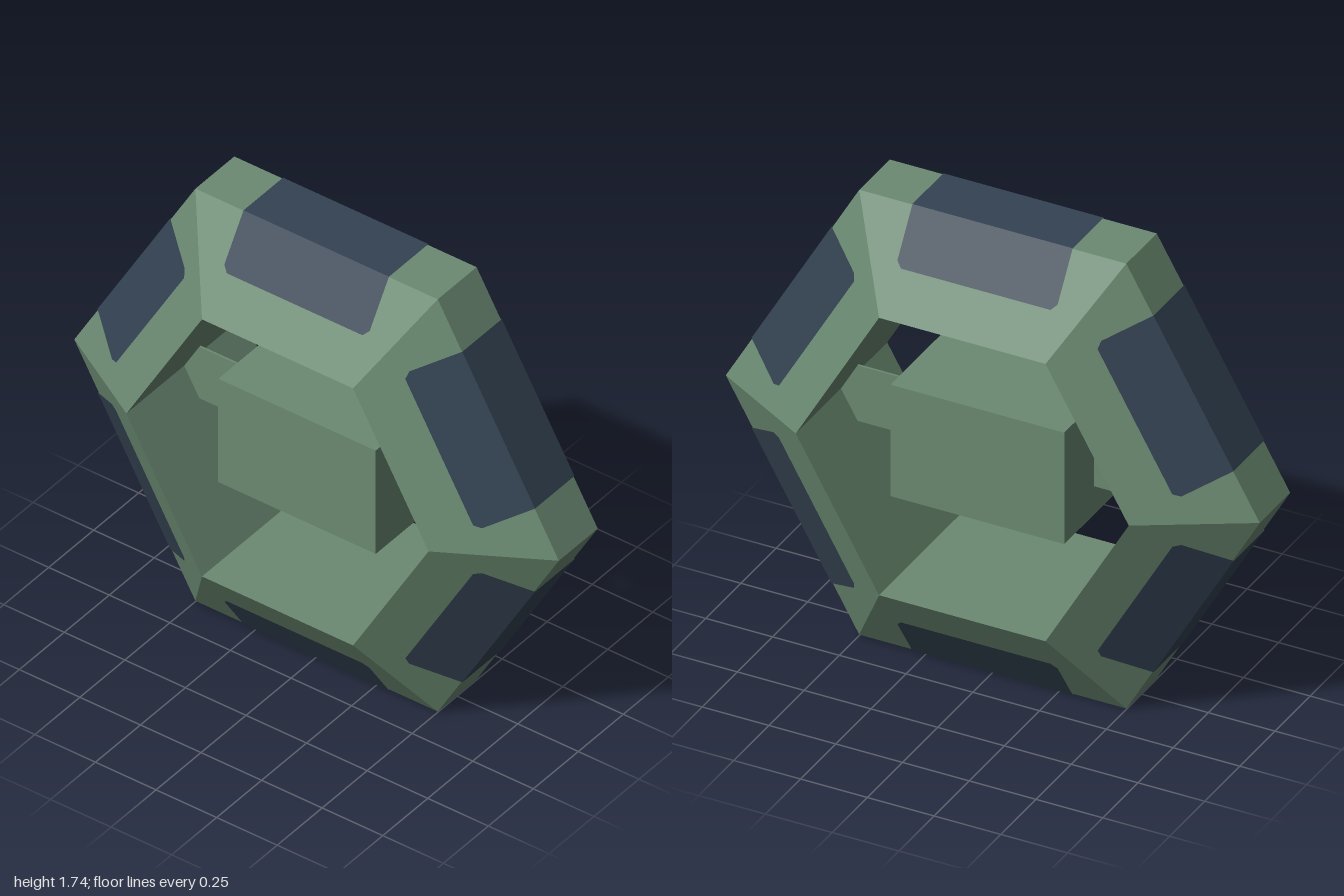
import * as THREE from 'three';

const APOTHEM = Math.sqrt(3) / 2;   // hexagon centre to outer flat
const INNER = 0.54;                 // hexagon centre to inner flat
const EDGE = 0.108;                 // half width of the outer flat
const SIDE = 0.325;                 // half width of the inner flat

// Strip of flat quads across rows of [x, y, half length along z]
function loft(rows) {
  const pos = [];
  for (let i = 0; i < rows.length - 1; i++) {
    const [x0, y0, h0] = rows[i];
    const [x1, y1, h1] = rows[i + 1];
    const a = [x0, y0, h0], b = [x1, y1, h1], c = [x1, y1, -h1], d = [x0, y0, -h0];
    pos.push(...a, ...b, ...c, ...a, ...c, ...d);
  }
  const g = new THREE.BufferGeometry();
  g.setAttribute('position', new THREE.Float32BufferAttribute(pos, 3));
  g.computeVertexNormals();
  return g;
}

export function createModel() {
  const hull = new THREE.MeshStandardMaterial({ color: 0x6b8a72, flatShading: true });
  hull.name = 'hullGreen';
  const glass = new THREE.MeshStandardMaterial({ color: 0x334252, flatShading: true, side: THREE.DoubleSide });
  glass.name = 'panelBlue';

  const model = new THREE.Group();
  model.name = 'hexagonalStation';
  const body = new THREE.Group();
  body.name = 'body';
  body.position.y = APOTHEM;
  model.add(body);

  const add = (parent, name, geometry, material) => {
    const mesh = new THREE.Mesh(geometry, material);
    mesh.name = name;
    parent.add(mesh);
    return mesh;
  };

  // One mitred ring segment: outer flat, two slopes and inner flat
  const miter = (x, y) => [x, y, y * Math.tan(Math.PI / 6)];
  const segment = loft([
    miter(-EDGE, APOTHEM), miter(EDGE, APOTHEM), miter(SIDE, INNER),
    miter(-SIDE, INNER), miter(-EDGE, APOTHEM),
  ]);

  // Window panel wrapped over the outer flat and both slopes, with clipped corners
  const lift = 0.003;
  const slope = (APOTHEM - INNER) / (SIDE - EDGE);
  const half = [[EDGE, 0.3], [0.215, 0.3], [0.228, 0.28]].map(([x, h]) => [
    x + lift * 0.54, APOTHEM + lift - (x - EDGE) * slope, h,
  ]);
  const mirrored = half.map(([x, y, h]) => [-x, y, h]).reverse();
  const panel = loft([...mirrored, ...half]);

  // Six sides of the ring
  for (let k = 0; k < 6; k++) {
    const side = new THREE.Group();
    side.name = `ringSide${k + 1}`;
    side.rotation.x = k * Math.PI / 3;
    add(side, 'ringSegment', segment, hull);
    add(side, 'windowPanel', panel, glass);
    body.add(side);
  }

  // Central block held by a thin flat strut
  add(body, 'centralBlock', new THREE.BoxGeometry(0.434, 0.434, 0.65), hull);
  add(body, 'strut', new THREE.BoxGeometry(0.008, 0.216, 1.25), hull);

  return model;
}
